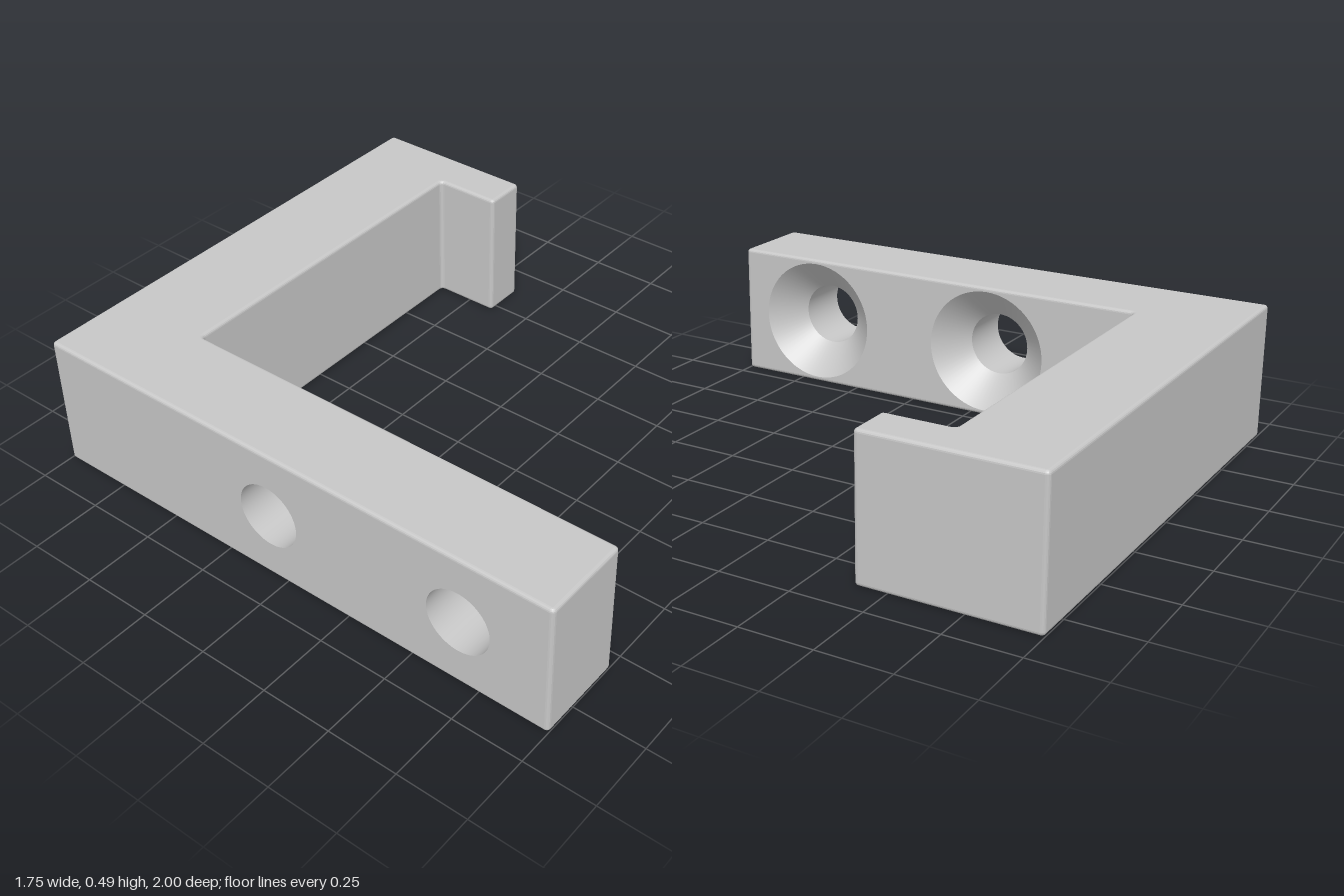
import * as THREE from 'three';

const H = 0.488, R = 0.012;              // height, edge rounding
const CORNER = R + 0.002;                // corner radius in plan
const OUT = -0.875, IN = -0.553;         // outer and inner face of the long arm
const BACK = -0.633;                     // inner face of the back bar
const BORE = 0.115, SINK = 0.228;        // hole radii
const HOLES = [0.675, -0.06];            // hole centres along z

// Hook outline in plan, as x and z
const OUTLINE = [
  [OUT, 1], [IN, 1], [IN, BACK], [0.715, BACK],
  [0.715, -0.39], [0.875, -0.39], [0.875, -1], [OUT, -1],
];

// Outline with every corner rounded
function hookShape() {
  const corners = OUTLINE.map(([x, z]) => new THREE.Vector2(x, -z));
  const n = corners.length, pts = [];
  corners.forEach((c, i) => {
    const toward = (j) => corners[(j + n) % n].clone().sub(c).setLength(CORNER);
    const a = toward(i - 1), b = toward(i + 1);
    const centre = c.clone().add(a).add(b);
    for (let k = 0; k <= 4; k++) {
      const t = (k / 4) * Math.PI / 2;
      pts.push(centre.clone().addScaledVector(b, -Math.cos(t)).addScaledVector(a, -Math.sin(t)));
    }
  });
  return new THREE.Shape(pts);
}

// Drop the two flat arm faces so drilled faces can take their place
function withoutArmFaces(geo) {
  const p = geo.attributes.position, kept = [];
  for (let i = 0; i < p.count; i += 3) {
    const on = (x) => [0, 1, 2].every((k) => Math.abs(p.getX(i + k) - x) < 1e-4);
    if (on(OUT) || on(IN)) continue;
    for (let k = 0; k < 3; k++) kept.push(p.getX(i + k), p.getY(i + k), p.getZ(i + k));
  }
  const out = new THREE.BufferGeometry();
  out.setAttribute('position', new THREE.Float32BufferAttribute(kept, 3));
  out.computeVertexNormals();
  return out;
}

// Flat arm face with round openings; side is +1 facing +x, -1 facing -x
function drilledFace(x, z0, z1, radius, side) {
  const s = new THREE.Shape();
  const u = (z) => -side * z;
  s.moveTo(u(z0), R).lineTo(u(z1), R).lineTo(u(z1), H - R).lineTo(u(z0), H - R).closePath();
  for (const z of HOLES) {
    s.holes.push(new THREE.Path().absarc(u(z), H / 2, radius, 0, Math.PI * 2, true));
  }
  return new THREE.ShapeGeometry(s, 32).rotateY(side * Math.PI / 2).translate(x, 0, 0);
}

// Inward-facing hole wall between two x positions
function holeWall(x0, r0, x1, r1, z) {
  const profile = [new THREE.Vector2(r1, x1), new THREE.Vector2(r0, x0)];
  return new THREE.LatheGeometry(profile, 64).rotateZ(-Math.PI / 2).translate(0, H / 2, z);
}

export function createModel() {
  const group = new THREE.Group();
  group.name = 'wallHook';
  const grey = new THREE.MeshStandardMaterial({ color: 0xc7c7c7, side: THREE.DoubleSide });
  grey.name = 'lightGrey';
  const add = (name, geo) => {
    const mesh = new THREE.Mesh(geo, grey);
    mesh.name = name;
    group.add(mesh);
  };

  // Body: arm, back bar and lip in one bevelled extrusion
  const body = new THREE.ExtrudeGeometry(hookShape(), {
    depth: H - 2 * R, bevelEnabled: true, bevelThickness: R, bevelSize: R,
    bevelOffset: -R, bevelSegments: 4,
  }).rotateX(-Math.PI / 2).translate(0, R, 0);
  add('hookBody', withoutArmFaces(body));

  // Drilled arm faces
  add('armOuterFace', drilledFace(OUT, -1 + CORNER, 1 - CORNER, BORE, -1));
  add('armInnerFace', drilledFace(IN, BACK + CORNER, 1 - CORNER, SINK, 1));

  // Countersunk screw holes
  const step = IN - (SINK - BORE);
  HOLES.forEach((z, i) => {
    add('screwBore' + (i + 1), holeWall(OUT, BORE, step, BORE, z));
    add('countersink' + (i + 1), holeWall(step, BORE, IN, SINK, z));
  });
  return group;
}
